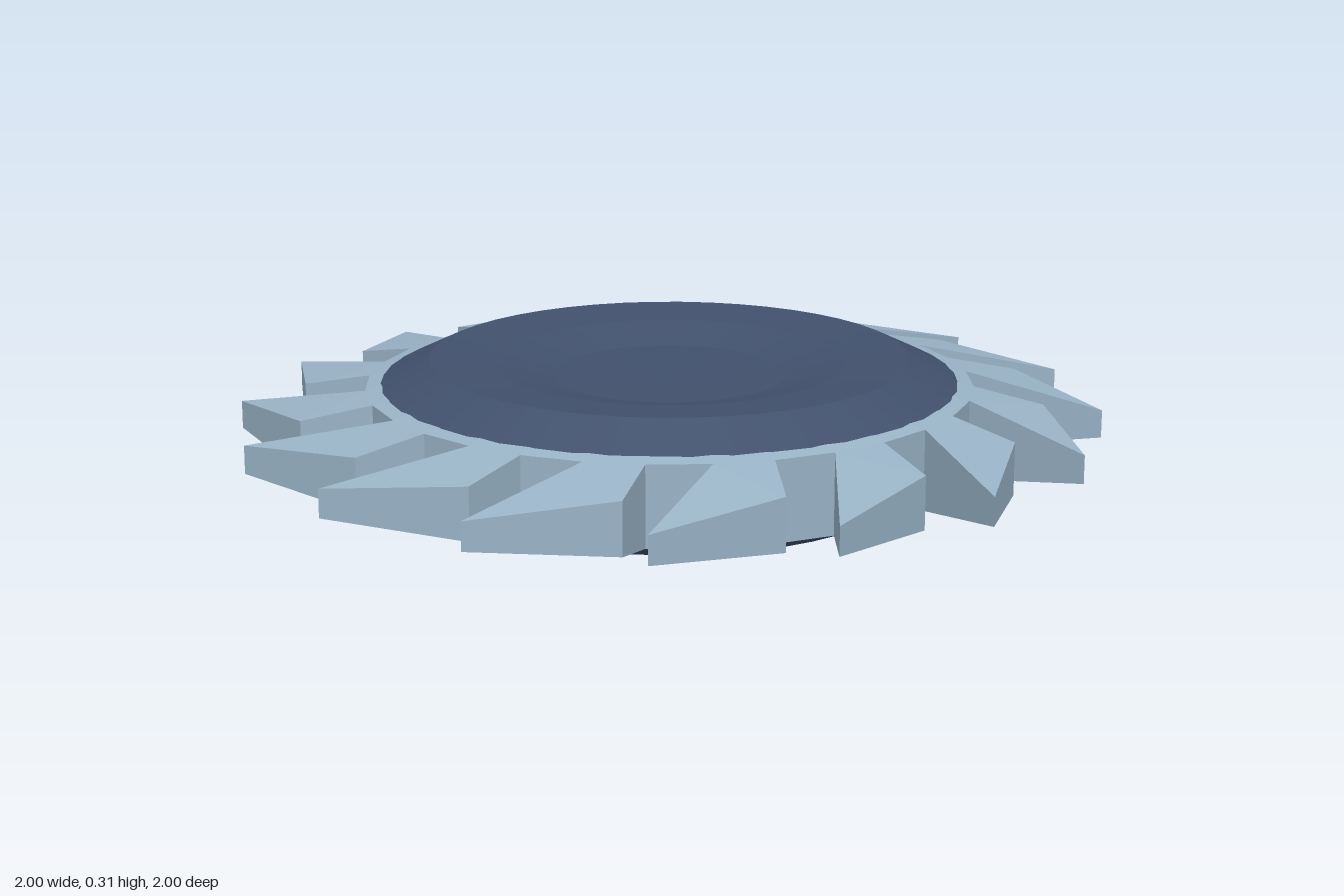
import * as THREE from 'three';

const TEETH = 16;
const MID = 0.155; // height of the mid plane
const steel = new THREE.MeshStandardMaterial({ color: 0x99b3c6 });
steel.name = 'paleSteel';
const navy = new THREE.MeshStandardMaterial({ color: 0x41506c });
navy.name = 'darkBlue';

// Blade half thickness tapers evenly toward the tips
const half = (r) => 0.095 - (r - 0.7) * 0.2;

// Point of the blade outline, turned about the axis; side is +1 top, -1 bottom
function place([x, z], angle, side) {
  const c = Math.cos(angle), s = Math.sin(angle);
  return [x * c - z * s, MID + side * half(Math.hypot(x, z)), x * s + z * c];
}

function facets(positions) {
  const g = new THREE.BufferGeometry();
  g.setAttribute('position', new THREE.Float32BufferAttribute(positions, 3));
  g.computeVertexNormals();
  return g;
}

// Toothed ring: rim sectors and swept teeth repeated around the axis
function bladeGeometry() {
  const pos = [];
  const quad = (a, b, c, d) => pos.push(...a, ...b, ...c, ...a, ...c, ...d);
  const rootA = [-0.08, -0.705], heel = [-0.064, -0.868];
  const tip = [0.251, -0.979], rootB = [0.055, -0.707];
  const inner = ([x, z]) => {
    const k = 0.66 / Math.hypot(x, z);
    return [x * k, z * k];
  };
  for (let i = 0; i < TEETH; i++) {
    const a = (i * 2 * Math.PI) / TEETH;
    const next = a + (2 * Math.PI) / TEETH;
    const both = (p, angle = a) => ({ t: place(p, angle, 1), b: place(p, angle, -1) });
    const A = both(rootA), B = both(heel), C = both(tip), D = both(rootB);
    const E = both(rootA, next);
    const iA = both(inner(rootA)), iD = both(inner(rootB)), iE = both(inner(rootA), next);
    // Top and bottom of the tooth, its rim sector and the gap sector
    for (const [p, q, r, s] of [[A, B, C, D], [iA, A, D, iD], [iD, D, E, iE]]) {
      quad(s.t, r.t, q.t, p.t);
      quad(p.b, q.b, r.b, s.b);
    }
    // Edge walls
    for (const [p, q] of [[A, B], [B, C], [C, D], [D, E]]) quad(q.b, p.b, p.t, q.t);
  }
  return facets(pos);
}

// Dished hub with a bevelled shoulder, the same above and below
function hubGeometry() {
  const upper = [[0.677, 0.098], [0.56, 0.155], [0.41, 0.143], [0.27, 0.112], [0, 0.107]];
  const profile = [
    ...[...upper].reverse().map(([r, h]) => new THREE.Vector2(r, MID - h)),
    ...upper.map(([r, h]) => new THREE.Vector2(r, MID + h)),
  ];
  const g = new THREE.LatheGeometry(profile, 48).toNonIndexed();
  g.computeVertexNormals();
  return g;
}

export function createModel() {
  const group = new THREE.Group();
  group.name = 'sawDisc';
  const blade = new THREE.Mesh(bladeGeometry(), steel);
  blade.name = 'toothedRing';
  const hub = new THREE.Mesh(hubGeometry(), navy);
  hub.name = 'hub';
  group.add(blade, hub);
  return group;
}
